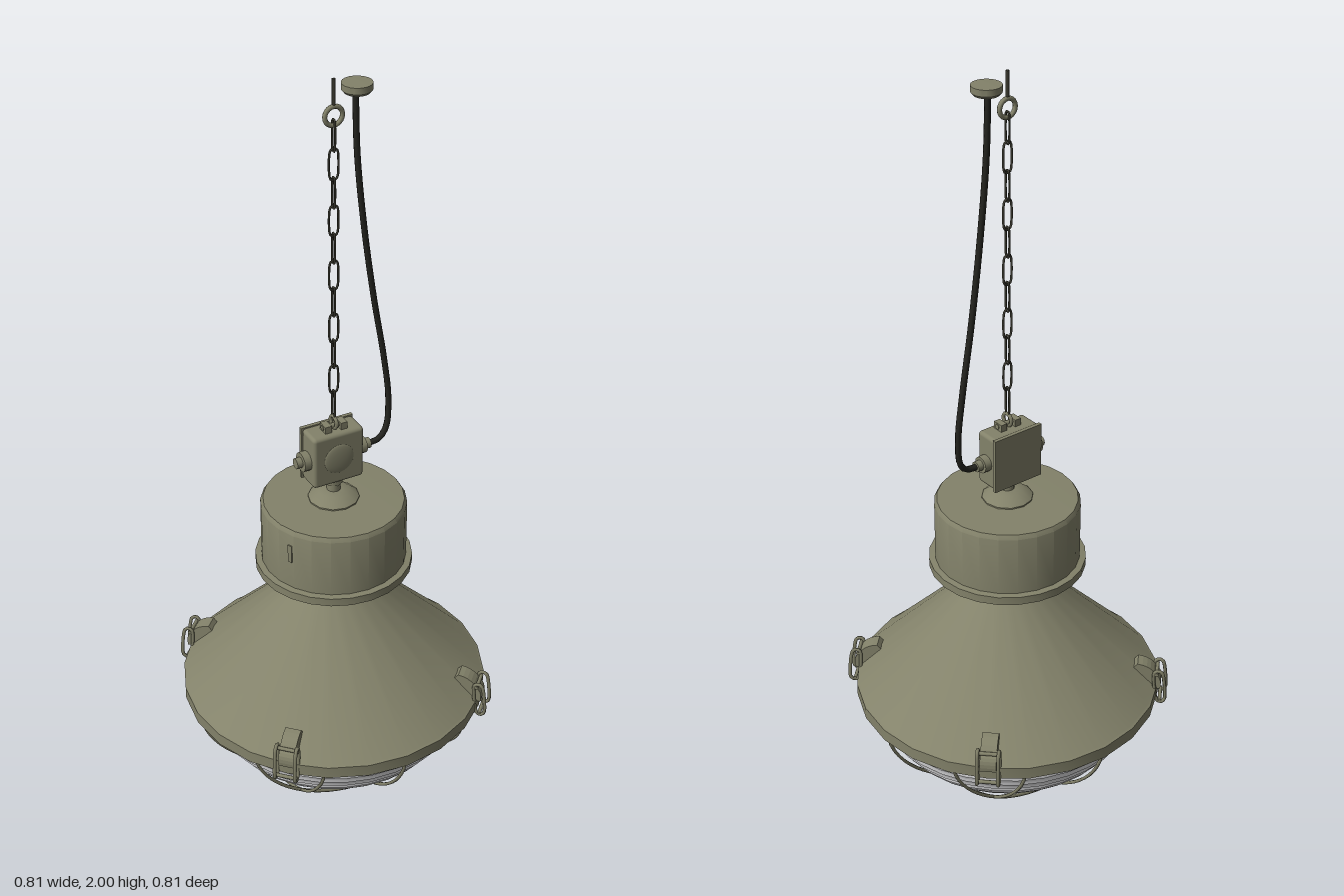
import * as THREE from 'three';
import { toCreasedNormals } from 'three/addons/utils/BufferGeometryUtils.js';
import { RoundedBoxGeometry } from 'three/addons/geometries/RoundedBoxGeometry.js';

const material = (name, color, side = THREE.FrontSide) => {
  const m = new THREE.MeshStandardMaterial({ color, side });
  m.name = name;
  return m;
};

export function createModel() {
  const olive = material('olive paint', 0x83826a);
  const dark = material('dark steel', 0x3b3a30);
  const rubber = material('black rubber', 0x24241f);
  const glass = material('frosted glass', 0xe6e6e8, THREE.DoubleSide);

  const model = new THREE.Group();
  model.name = 'pendantLamp';

  const add = (name, geo, mat, x = 0, y = 0, z = 0, parent = model) => {
    const mesh = new THREE.Mesh(geo, mat);
    mesh.name = name;
    mesh.position.set(x, y, z);
    parent.add(mesh);
    return mesh;
  };
  // Profiles run from the bottom up as [radius, height]
  const lathe = (pts, sides = 24) => toCreasedNormals(
    new THREE.LatheGeometry(pts.map(p => new THREE.Vector2(...p)), sides), 0.6);
  const tube = (pts, r, steps, closed = false, sides = 6) => new THREE.TubeGeometry(
    new THREE.CatmullRomCurve3(pts.map(p => new THREE.Vector3(...p)), closed), steps, r, sides, closed);
  // Long closed loop in the xy plane
  const loop = (w, h, r) => tube([
    [w, h - w, 0], [w * 0.7, h - w * 0.3, 0], [0, h, 0], [-w * 0.7, h - w * 0.3, 0], [-w, h - w, 0],
    [-w, w - h, 0], [-w * 0.7, w * 0.3 - h, 0], [0, -h, 0], [w * 0.7, w * 0.3 - h, 0], [w, w - h, 0],
  ], r, 28, true, 5);

  // Conical shade with its rim and neck
  add('shade', lathe([
    [0.35, 0.3], [0.37, 0.285], [0.37, 0.272], [0.405, 0.272], [0.405, 0.305],
    [0.398, 0.308], [0.092, 0.62], [0.092, 0.69],
  ]), olive);

  // Gear housing with stepped underside and flange
  add('housing', lathe([
    [0.085, 0.685], [0.12, 0.685], [0.12, 0.674], [0.135, 0.674], [0.135, 0.685], [0.155, 0.685],
    [0.155, 0.674], [0.17, 0.674], [0.17, 0.682], [0.185, 0.682], [0.185, 0.668],
    [0.204, 0.668], [0.204, 0.69], [0.188, 0.692], [0.188, 0.852], [0.181, 0.863], [0, 0.865],
  ]), olive);
  const plate = add('housingTab', new THREE.BoxGeometry(0.012, 0.05, 0.009), olive, -0.166, 0.795, 0.083);
  plate.rotation.y = Math.atan2(-0.166, 0.083);

  // Collar and stem under the junction box
  add('collar', lathe([[0.066, 0.862], [0.066, 0.868], [0.04, 0.888], [0.018, 0.89]], 12), olive);
  add('stem', new THREE.CylinderGeometry(0.018, 0.018, 0.06, 12), olive, 0, 0.91, 0);
  add('stemNut', new THREE.CylinderGeometry(0.023, 0.023, 0.018, 6), olive, 0, 0.918, 0);

  // Junction box with back lid, front boss and side glands
  const box = new THREE.Group();
  box.name = 'junctionBox';
  box.position.set(0, 0.997, 0);
  model.add(box);
  add('boxBody', new RoundedBoxGeometry(0.142, 0.146, 0.068, 2, 0.01), olive, 0, 0, -0.004, box);
  add('boxLid', new THREE.BoxGeometry(0.146, 0.148, 0.01), olive, 0, 0, -0.04, box);
  const boss = add('frontBoss', new THREE.SphereGeometry(0.042, 20, 6, 0, Math.PI * 2, 0, Math.PI / 2), olive, 0, 0, 0.029, box);
  boss.rotation.x = Math.PI / 2;
  boss.scale.y = 0.15;
  for (const s of [-1, 1]) {
    const gland = (name, r, x, len) => {
      add(name, new THREE.CylinderGeometry(r, r, len, 12), olive, s * x, -0.004, -0.006, box).rotation.z = Math.PI / 2;
    };
    gland('glandNut', s < 0 ? 0.026 : 0.022, 0.079, 0.022);
    gland('glandTip', 0.014, 0.096, 0.018);
  }

  // Lug and eye that carry the chain
  for (const s of [-1, 1]) add('topLug', new THREE.BoxGeometry(0.018, 0.022, 0.03), olive, s * 0.022, 1.078, 0);
  add('lugPin', new THREE.CylinderGeometry(0.007, 0.007, 0.066, 8), olive, 0, 1.08, 0).rotation.z = Math.PI / 2;
  add('lugEye', new THREE.TorusGeometry(0.016, 0.005, 6, 16), olive, 0, 1.09, 0).rotation.y = Math.PI / 2;

  // Chain of alternating links, the crosswise ones narrower
  const wideLink = loop(0.011, 0.04, 0.003);
  const narrowLink = loop(0.006, 0.04, 0.003);
  for (let i = 0; i < 11; i++) {
    const wide = i % 2 === 1;
    add('chainLink', wide ? wideLink : narrowLink, dark, 0, 1.862 - i * 0.072, 0).rotation.y = wide ? 0 : Math.PI / 2;
  }
  add('ceilingEye', new THREE.TorusGeometry(0.023, 0.006, 8, 20), olive, 0, 1.91, 0);
  add('ceilingScrew', new THREE.CylinderGeometry(0.0045, 0.0045, 0.07, 8), dark, 0, 1.965, 0);

  // Power cable and its ceiling cap
  add('cable', tube([
    [0.056, 1.96, 0], [0.062, 1.8, 0], [0.085, 1.6, -0.004], [0.118, 1.4, -0.012],
    [0.152, 1.22, -0.018], [0.165, 1.1, -0.016], [0.155, 1.02, -0.01], [0.13, 0.995, -0.006], [0.095, 0.993, -0.006],
  ], 0.008, 60, false, 8), rubber);
  add('ceilingCap', lathe([[0, 1.957], [0.031, 1.957], [0.037, 1.964], [0.037, 1.98], [0, 1.981]], 20), olive, 0.06, 0, 0);

  // Glass bowl: finely ribbed upper band, smooth bottom
  const bowl = y => 0.365 * Math.sqrt(1 - ((0.285 - y) / 0.262) ** 2);
  const profile = [[0, 0.023]];
  for (const y of [0.026, 0.035, 0.05, 0.07, 0.095, 0.12, 0.14]) profile.push([bowl(y), y]);
  for (let y = 0.152; y < 0.255; y += 0.022) {
    profile.push([bowl(y) - 0.003, y], [bowl(y) + 0.002, y + 0.004], [bowl(y) + 0.004, y + 0.014]);
  }
  profile.push([0.365, 0.276]);
  add('glassBowl', lathe(profile, 32), glass);

  // Wire guard: three wires each way over the bowl
  const R = 0.392;
  for (const turn of [0, Math.PI / 2]) {
    for (const off of [-0.205, 0, 0.205]) {
      const half = Math.sqrt(R * R - off * off);
      const pts = [];
      for (let i = 0; i <= 16; i++) {
        const x = -half * Math.cos(Math.PI * i / 16);
        const fall = Math.max(0, 1 - (x * x + off * off) / (R * R)) ** 0.65;
        pts.push([x, 0.275 - 0.27 * fall, off]);
      }
      add('guardWire', tube(pts, 0.0045, 36), olive).rotation.y = turn;
    }
  }
  add('guardRing', new THREE.TorusGeometry(R - 0.005, 0.006, 6, 32), olive, 0, 0.273, 0).rotation.x = Math.PI / 2;

  // Four toggle clips around the rim, each built facing +z
  const leverShape = new THREE.Shape();
  leverShape.moveTo(0.338, 0.362);
  leverShape.lineTo(0.35, 0.376);
  leverShape.quadraticCurveTo(0.385, 0.372, 0.4, 0.345);
  leverShape.quadraticCurveTo(0.418, 0.33, 0.412, 0.3);
  leverShape.lineTo(0.4, 0.3);
  const lever = new THREE.ExtrudeGeometry(leverShape, { depth: 0.042, bevelEnabled: false, curveSegments: 5 });
  lever.translate(0, 0, -0.021);
  lever.rotateY(-Math.PI / 2);
  const bail = loop(0.012, 0.05, 0.005);
  for (let i = 0; i < 4; i++) {
    const clip = new THREE.Group();
    clip.name = 'clip';
    clip.rotation.y = Math.PI / 4 + i * Math.PI / 2;
    model.add(clip);
    add('clipLever', lever, olive, 0, 0, 0, clip);
    for (const s of [-1, 1]) {
      add('clipBail', bail, olive, s * 0.027, 0.312, 0.41, clip).rotation.set(-0.1, Math.PI / 2, 0);
    }
    for (const [y, z] of [[0.35, 0.402], [0.267, 0.412]]) {
      add('clipPin', new THREE.CylinderGeometry(0.005, 0.005, 0.06, 8), olive, 0, y, z, clip).rotation.z = Math.PI / 2;
    }
  }
  return model;
}
